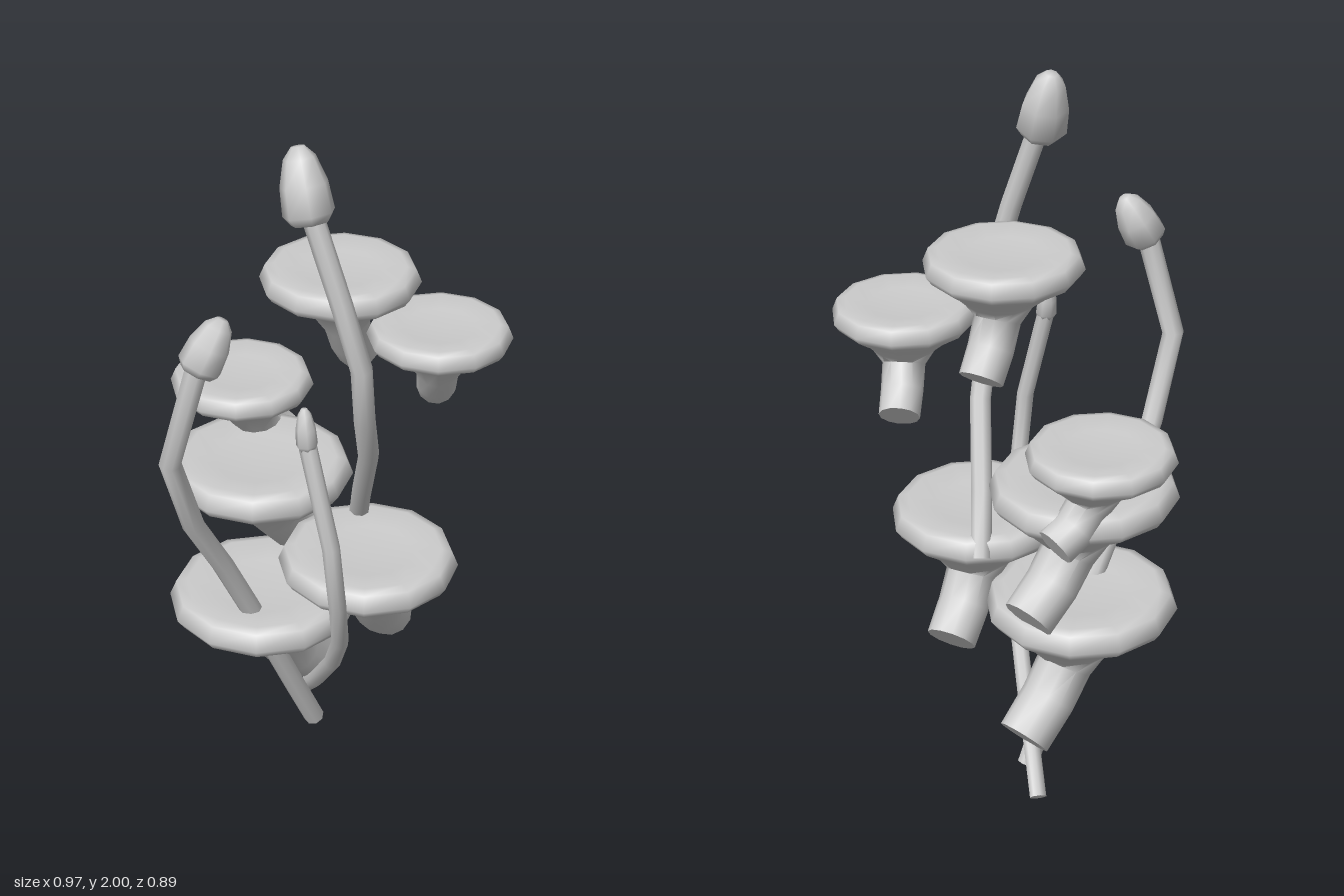
import * as THREE from 'three';
import { toCreasedNormals } from 'three/addons/utils/BufferGeometryUtils.js';

const V = (x, y, z) => new THREE.Vector3(x, y, z);
const UP = V(0, 1, 0);
const material = new THREE.MeshStandardMaterial({ color: 0xcccccc });

// Skin a closed tube over rings { p: centre, r: radius, t: optional axis }.
function loft(rings, sides, name) {
  const pos = [], idx = [];
  rings.forEach((ring, i) => {
    const a = rings[Math.max(i - 1, 0)].p, b = rings[Math.min(i + 1, rings.length - 1)].p;
    const t = ring.t || b.clone().sub(a).normalize();
    const u = V(1, 0, 0).addScaledVector(t, -t.x).normalize();
    const v = t.clone().cross(u);
    for (let j = 0; j < sides; j++) {
      const k = (j / sides) * Math.PI * 2;
      pos.push(...ring.p.clone().addScaledVector(u, ring.r * Math.cos(k))
        .addScaledVector(v, ring.r * Math.sin(k)).toArray());
    }
  });
  const n = rings.length, first = n * sides, last = first + 1;
  pos.push(...rings[0].p.toArray(), ...rings[n - 1].p.toArray());
  for (let j = 0; j < sides; j++) {
    const k = (j + 1) % sides;
    for (let i = 0; i < n - 1; i++) {
      const a = i * sides + j, b = i * sides + k;
      idx.push(a, b, b + sides, a, b + sides, a + sides);
    }
    idx.push(first, k, j, last, (n - 1) * sides + j, (n - 1) * sides + k);
  }
  const g = new THREE.BufferGeometry();
  g.setAttribute('position', new THREE.Float32BufferAttribute(pos, 3));
  g.setIndex(idx);
  const mesh = new THREE.Mesh(toCreasedNormals(g, 1.2), material);
  mesh.name = name;
  return mesh;
}

// Flat funnel-shaped mushroom: bent stem flaring into a wide cap.
function mushroom([cx, cy, cz], r, [ex, ey, ez], name) {
  const top = V(cx, cy, cz), end = V(ex, ey, ez), stemR = r * 0.28;
  const at = (drop, drift) => V(
    cx + (ex - cx) * drift, cy - drop * r, cz + (ez - cz) * drift);
  const neck = at(0.85, 0.3);
  const bend = neck.clone().lerp(end, 0.4);
  bend.y -= 0.015;
  const rings = [
    { p: end, r: stemR, t: bend.clone().sub(end).normalize() },
    { p: bend, r: stemR * 1.03 },
    { p: neck, r: stemR * 1.05 },
  ];
  // underside flare, rim and slightly dished top: [drop, drift, radius]
  [[0.62, 0.16, 0.45], [0.46, 0.07, 0.66], [0.3, 0, 0.93], [0.2, 0, 1],
    [0.03, 0, 0.93], [0, 0, 0.82], [0.05, 0, 0.5]].forEach(([d, s, k]) =>
    rings.push({ p: at(d, s), r: r * k, t: UP }));
  rings.push({ p: top.clone().setY(cy - 0.06 * r), r: r * 0.1, t: UP });
  return loft(rings, 12, name);
}

// Thin angular stalk along a path, with a bullet-shaped bud from base to tip.
function sprout(points, r, bud, budR, name) {
  const group = new THREE.Group();
  group.name = name;
  group.add(loft(points.map((p) => ({ p: V(...p), r })), 8, 'stalk'));
  const base = V(...bud[0]), tip = V(...bud[1]);
  const axis = tip.clone().sub(base).normalize();
  const profile = [[0, 0.75], [0.12, 1], [0.5, 0.92], [0.85, 0.62], [1, 0.25]];
  group.add(loft(profile.map(([s, k]) => (
    { p: base.clone().lerp(tip, s), r: budR * k, t: axis })), 7, 'bud'));
  return group;
}

export function createModel() {
  const model = new THREE.Group();
  model.name = 'mushroomCluster';

  // Mushrooms: cap centre, cap radius, stem foot
  [
    [[0.055, 1.585, -0.12], 0.213, [0.03, 1.27, -0.25]],
    [[0.285, 1.425, -0.25], 0.194, [0.21, 1.155, -0.37]],
    [[-0.29, 1.145, -0.155], 0.2, [-0.25, 0.89, -0.3]],
    [[-0.16, 0.965, -0.055], 0.258, [-0.14, 0.61, -0.275]],
    [[0.185, 0.775, -0.075], 0.248, [0.14, 0.425, -0.265]],
    [[-0.12, 0.575, -0.01], 0.268, [-0.1, 0.185, -0.245]],
  ].forEach(([c, r, e], i) => model.add(mushroom(c, r, e, 'mushroom' + (i + 1))));

  // Tall sprout
  model.add(sprout([[0.04, 0.72, -0.25], [0.1, 0.87, -0.17], [0.19, 1.08, -0.06],
    [0.235, 1.25, 0.035], [0.245, 1.42, 0.07], [0.2, 1.6, 0.095], [0.105, 1.86, 0.105]],
  0.029, [[0.113, 1.815, 0.108], [0.06, 2.0, 0.088]], 0.068, 'tallSprout'));

  // Front sprout
  model.add(sprout([[-0.05, 0.025, -0.165], [-0.06, 0.2, -0.075], [-0.09, 0.58, 0.11],
    [-0.11, 0.76, 0.2], [-0.115, 0.95, 0.32], [-0.115, 1.19, 0.412], [-0.045, 1.5, 0.37]],
  0.03, [[-0.048, 1.465, 0.378], [-0.01, 1.6, 0.315]], 0.06, 'frontSprout'));

  // Thin side sprout
  model.add(sprout([[-0.165, 0.02, -0.265], [-0.02, 0.2, -0.13], [0.12, 0.4, 0.0],
    [0.21, 0.57, 0.1], [0.255, 0.75, 0.185], [0.255, 0.96, 0.22], [0.17, 1.25, 0.208]],
  0.024, [[0.174, 1.23, 0.21], [0.16, 1.345, 0.206]], 0.029, 'sideSprout'));

  return model;
}
